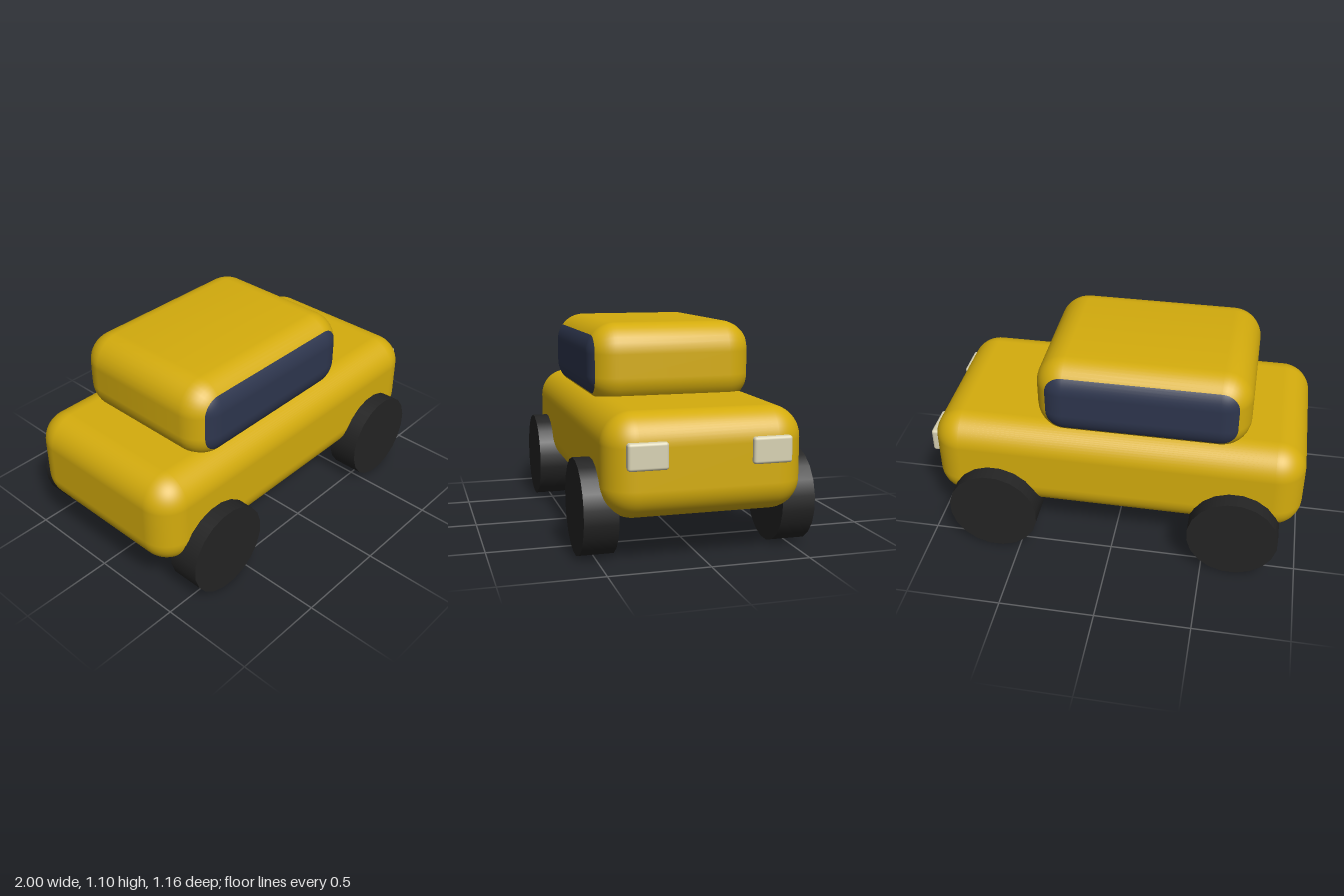
import * as THREE from 'three';
import { RoundedBoxGeometry } from 'three/addons/geometries/RoundedBoxGeometry.js';

const mat = (name, color, side = THREE.FrontSide) => {
  const m = new THREE.MeshStandardMaterial({ color, side });
  m.name = name;
  return m;
};

// Part of a rounded box between z0 and z1, built from rounded-rectangle rings.
function roundedSlice(w, h, d, r, z0, z1, steps) {
  const n = 8, core = d / 2 - r, pos = [], nor = [], idx = [];
  const ringSize = 4 * (n + 1);
  for (let i = 0; i <= steps; i++) {
    // even angular steps round the curved ends
    const ang = (z) => Math.asin(THREE.MathUtils.clamp((Math.abs(z) - core) / r, 0, 1)) * Math.sign(z);
    const a = THREE.MathUtils.lerp(ang(z0), ang(z1), i / steps);
    const rho = Math.cos(a) * r;
    const z = Math.sign(a) * core + Math.sin(a) * r;
    for (let c = 0; c < 4; c++) {
      const sx = c === 0 || c === 3 ? 1 : -1, sy = c < 2 ? 1 : -1;
      for (let k = 0; k <= n; k++) {
        const t = (c + k / n) * Math.PI / 2;
        pos.push(sx * (w / 2 - r) + Math.cos(t) * rho, sy * (h / 2 - r) + Math.sin(t) * rho, z);
        nor.push(Math.cos(t) * Math.cos(a), Math.sin(t) * Math.cos(a), Math.sin(a));
      }
    }
  }
  for (let i = 0; i < steps; i++) {
    for (let j = 0; j < ringSize; j++) {
      const a = i * ringSize + j, b = i * ringSize + (j + 1) % ringSize;
      idx.push(a, b, a + ringSize, b, b + ringSize, a + ringSize);
    }
  }
  // flat cap where the slice reaches the end of the box
  for (const [z, first, s] of [[z0, 0, -1], [z1, steps * ringSize, 1]]) {
    if (Math.abs(z) < d / 2 - 1e-6) continue;
    const centre = pos.length / 3;
    pos.push(0, 0, z);
    nor.push(0, 0, s);
    for (let j = 0; j < ringSize; j++) {
      const a = first + j, b = first + (j + 1) % ringSize;
      idx.push(centre, ...(s > 0 ? [a, b] : [b, a]));
    }
  }
  const g = new THREE.BufferGeometry();
  g.setAttribute('position', new THREE.Float32BufferAttribute(pos, 3));
  g.setAttribute('normal', new THREE.Float32BufferAttribute(nor, 3));
  g.setIndex(idx);
  return g;
}

export function createModel() {
  const model = new THREE.Group();
  model.name = 'car';
  const paint = mat('yellow paint', 0xd4ac0d);
  const glass = mat('dark blue glass', 0x2e364e);
  const rubber = mat('black rubber', 0x242424);
  const lamp = mat('cream lamp', 0xd8d2b4);

  const add = (name, geometry, material, x, y, z) => {
    const mesh = new THREE.Mesh(geometry, material);
    mesh.name = name;
    mesh.position.set(x, y, z);
    model.add(mesh);
    return mesh;
  };

  // Lower body
  add('body', new RoundedBoxGeometry(1.975, 0.51, 0.99, 8, 0.155), paint, -0.0125, 0.475, 0);

  // Cabin, with its two bulging sides as windows
  const W = 1.115, H = 0.43, D = 0.88, R = 0.155, split = 0.41;
  const cx = -0.1425, cy = 0.885;
  add('cabin', roundedSlice(W, H, D, R, -split, split, 15), paint, cx, cy, 0);
  add('leftWindow', roundedSlice(W, H, D, R, split, D / 2, 6), glass, cx, cy, 0);
  add('rightWindow', roundedSlice(W, H, D, R, -D / 2, -split, 6), glass, cx, cy, 0);

  // Wheels
  const wheel = new THREE.CylinderGeometry(0.24, 0.24, 0.17, 20);
  wheel.rotateY(Math.PI / 20).rotateX(Math.PI / 2);
  for (const [end, x] of [['rear', -0.657], ['front', 0.633]]) {
    for (const s of [1, -1]) {
      add(end + (s > 0 ? 'RightWheel' : 'LeftWheel'), wheel, rubber, x, 0.237, s * 0.495);
    }
  }

  // Headlights
  const light = new RoundedBoxGeometry(0.05, 0.13, 0.195, 3, 0.015);
  for (const s of [1, -1]) add('headlight', light, lamp, 0.973, 0.54, s * 0.303);

  return model;
}
